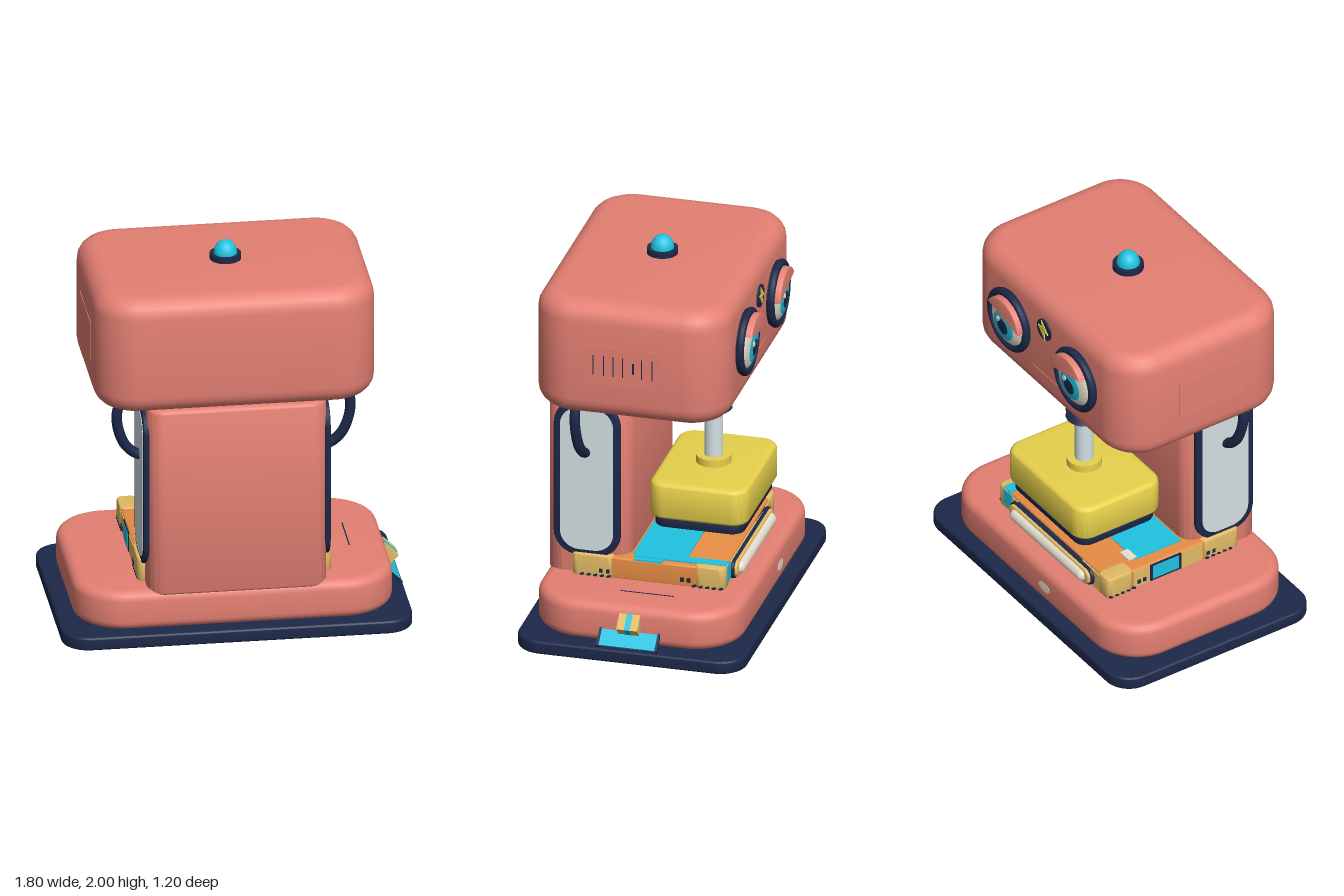
import * as THREE from 'three';
import { toCreasedNormals } from 'three/addons/utils/BufferGeometryUtils.js';

const mat = (name, color) => {
  const m = new THREE.MeshStandardMaterial({ color });
  m.name = name;
  return m;
};

// Rounded-rectangle slab standing on y = 0: width x, depth z, height y
function slab(w, d, h, r, b) {
  const x = w / 2 - b, y = d / 2 - b, c = Math.max(r - b, 0.002);
  const s = new THREE.Shape();
  s.absarc(x - c, y - c, c, 0, Math.PI / 2);
  s.absarc(-x + c, y - c, c, Math.PI / 2, Math.PI);
  s.absarc(-x + c, -y + c, c, Math.PI, Math.PI * 1.5);
  s.absarc(x - c, -y + c, c, Math.PI * 1.5, Math.PI * 2);
  const g = new THREE.ExtrudeGeometry(s, {
    depth: h - 2 * b, bevelEnabled: b > 0, bevelThickness: b, bevelSize: b, bevelSegments: 5, curveSegments: 8,
  });
  g.rotateX(-Math.PI / 2).translate(0, b, 0);
  return toCreasedNormals(g, 0.6);
}

// Flat plate cut from a list of points
function plate(points, depth) {
  const s = new THREE.Shape(points.map(([x, y]) => new THREE.Vector2(x, y)));
  return new THREE.ExtrudeGeometry(s, { depth, bevelEnabled: false });
}

export function createModel() {
  const coral = mat('coral', 0xe58073), navy = mat('navy', 0x1d2849), yellow = mat('yellow', 0xe8d24c);
  const cyan = mat('cyan', 0x1fc3e0), grey = mat('light grey', 0xd4e1e4), sand = mat('sand', 0xe3bb65);
  const orange = mat('orange', 0xe68c45), cream = mat('cream', 0xefe8d6);
  const teal = mat('teal', 0x2a8a84), magenta = mat('magenta', 0xb03a86);

  const model = new THREE.Group();
  model.name = 'pressMachine';
  const add = (name, geo, material, x = 0, y = 0, z = 0, parent = model) => {
    const m = new THREE.Mesh(geo, material);
    m.name = name;
    m.position.set(x, y, z);
    parent.add(m);
    return m;
  };
  const box = (w, h, d) => new THREE.BoxGeometry(w, h, d);
  const cyl = (r, h) => new THREE.CylinderGeometry(r, r, h, 32);

  // Base, column and head
  add('basePlate', slab(1.8, 1.2, 0.07, 0.14, 0.012), navy);
  add('baseBody', slab(1.64, 1.08, 0.21, 0.26, 0.05), coral, 0, 0.07, 0);
  add('column', slab(0.92, 0.44, 1.03, 0.09, 0.03), coral, 0, 0.25, 0.32);
  add('head', slab(1.44, 1.02, 0.63, 0.22, 0.1), coral, 0, 1.27, 0.05);

  // Beacon on the head
  add('beaconBase', cyl(0.08, 0.04), navy, 0, 1.91, 0.05);
  add('beaconDome', new THREE.SphereGeometry(0.06, 24, 10, 0, Math.PI * 2, 0, Math.PI / 2).scale(1, 1.17, 1), cyan, 0, 1.93, 0.05);

  // Column windows and cables, mirrored
  for (const s of [1, -1]) {
    const turn = (g) => g.rotateZ(-s * Math.PI / 2);
    add('windowFrame', turn(slab(0.86, 0.35, 0.03, 0.13, 0.008)), navy, s * 0.45, 0.81, 0.32);
    add('windowPane', turn(slab(0.79, 0.28, 0.03, 0.1, 0)), grey, s * 0.453, 0.81, 0.32);
    const path = new THREE.CatmullRomCurve3([
      [0.575, 1.3, 0.35], [0.6, 1.18, 0.35], [0.565, 1.04, 0.34], [0.51, 0.975, 0.33], [0.45, 0.95, 0.325],
    ].map(([x, y, z]) => new THREE.Vector3(s * x, y, z)));
    add('cable', new THREE.TubeGeometry(path, 32, 0.027, 12), navy);
    // Side hatch on the head
    add('sideHatch', box(0.006, 0.21, 0.39), coral, s * 0.72, 1.575, 0.07);
  }
  for (const z of [0.22, 0.165, 0.115, 0.065, -0.035, -0.09]) {
    add('ventRib', box(0.0066, 0.11, 0.005), navy, 0.72, 1.575, z);
  }
  add('ventSlit', box(0.008, 0.06, 0.01), navy, 0.721, 1.575, 0.01);

  // Face: eyes with rings, irises and heavy lids
  const cap = (r, angle, tilt) => new THREE.SphereGeometry(r, 32, 12, 0, Math.PI * 2, 0, angle)
    .rotateX(-Math.PI / 2 + tilt).scale(1, 1, 0.3);
  for (const s of [1, -1]) {
    const eye = new THREE.Group();
    eye.name = 'eye';
    eye.position.set(s * 0.3, 1.6, -0.46);
    model.add(eye);
    add('eyeSocket', cyl(0.17, 0.03).rotateX(Math.PI / 2), navy, 0, 0, -0.005, eye);
    add('eyeRing', new THREE.TorusGeometry(0.157, 0.021, 12, 40), navy, 0, 0, -0.021, eye);
    add('eyeWhite', cap(0.142, Math.PI / 2, 0), cream, 0, 0, -0.018, eye);
    add('iris', cap(0.145, 0.62, -0.2), cyan, 0, 0, -0.018, eye);
    add('pupil', cap(0.148, 0.31, -0.2), navy, 0, 0, -0.018, eye);
    add('eyeGlint', cyl(0.014, 0.006).rotateX(Math.PI / 2), cream, 0.035, 0.005, -0.063, eye);
    const lid = new THREE.Shape();
    lid.absarc(0, 0, 0.143, 0.36, Math.PI - 0.36);
    lid.closePath();
    const lidGeo = new THREE.ExtrudeGeometry(lid, { depth: 0.06, bevelThickness: 0.006, bevelSize: 0.005, bevelSegments: 3, curveSegments: 24 });
    // Lids slope down towards the middle of the face
    add('eyelid', toCreasedNormals(lidGeo, 0.6), coral, -s * 0.012, 0, -0.067, eye).rotation.z = s * 0.22;
  }
  add('browBadge', cyl(0.06, 0.02).rotateX(Math.PI / 2), navy, 0, 1.72, -0.46);
  const bolt = plate([[0.016, 0.055], [-0.045, -0.008], [-0.008, -0.008], [-0.018, -0.055], [0.045, 0.014], [0.01, 0.014]], 0.006);
  add('badgeMark', bolt, yellow, 0, 1.72, -0.475);
  add('mouth', box(0.22, 0.005, 0.006), coral, 0, 1.43, -0.46);

  // Press: collar, bellows, rod and pressing block
  const bellows = [];
  for (let i = 0; i <= 10; i++) bellows.push(new THREE.Vector2(i % 2 ? 0.095 : 0.066, 1.045 + i * 0.0205));
  add('pressCollar', cyl(0.1, 0.03), cyan, 0, 1.262, -0.22);
  add('bellows', toCreasedNormals(new THREE.LatheGeometry([new THREE.Vector2(0, 1.045), ...bellows], 32), 0.5), navy, 0, 0, -0.22);
  add('rod', cyl(0.048, 0.27), grey, 0, 0.925, -0.22);
  add('blockCollar', cyl(0.09, 0.05), yellow, 0, 0.78, -0.22);
  add('pressBlock', slab(0.7, 0.52, 0.2, 0.09, 0.03), yellow, 0, 0.565, -0.22);
  add('pressPad', slab(0.65, 0.47, 0.06, 0.07, 0.008), navy, 0, 0.515, -0.22);

  // Work bed with corner blocks, cloth and markings
  add('bed', slab(0.98, 0.78, 0.118, 0.03, 0.01), orange, 0, 0.275, -0.01);
  for (const sx of [1, -1]) {
    add('rearCorner', slab(0.1, 0.22, 0.123, 0.03, 0.01), sand, sx * 0.447, 0.275, 0.285);
    add('frontCorner', slab(0.1, 0.16, 0.123, 0.03, 0.01), sand, sx * 0.447, 0.275, -0.33);
    for (const z of [0.24, 0.205, -0.185, -0.22]) add('rivet', box(0.016, 0.022, 0.018), navy, sx * 0.491, 0.315, z);
    for (const start of [0.2, -0.39]) {
      for (let i = 0; i < 5; i++) {
        const dash = add('hazardDash', box(0.008, 0.012, 0.022), navy, sx * 0.495, 0.287, start + i * 0.035);
        dash.rotation.x = 0.4;
      }
    }
  }
  add('bedCloth', box(0.84, 0.008, 0.28), cyan, 0, 0.393, -0.05);
  add('bedClothEdge', box(0.14, 0.008, 0.15), cyan, 0.42, 0.393, -0.005);
  add('leftSidePanel', box(0.008, 0.1, 0.425), sand, -0.49, 0.335, -0.04);
  add('leftSideBadgeFrame', box(0.008, 0.1, 0.19), navy, -0.492, 0.336, -0.055);
  add('leftSideBadge', box(0.008, 0.08, 0.16), cyan, -0.494, 0.337, -0.055);
  add('clothLabel', box(0.08, 0.008, 0.05), cream, -0.37, 0.396, -0.2);
  add('bedFrontRail', box(0.94, 0.1, 0.02), sand, 0, 0.33, -0.398);
  add('frontTab', box(0.07, 0.09, 0.008), cyan, 0.41, 0.345, -0.408);
  add('sideRibbon', box(0.06, 0.008, 0.48), cyan, 0.425, 0.396, -0.165);
  add('handleBack', slab(0.74, 0.1, 0.03, 0.045, 0.005).rotateX(-Math.PI / 2), navy, 0, 0.33, -0.395);
  add('handleTrim', slab(0.72, 0.088, 0.03, 0.043, 0.008).rotateX(-Math.PI / 2), sand, 0, 0.33, -0.41);
  add('handle', new THREE.CapsuleGeometry(0.035, 0.59, 8, 20).rotateZ(Math.PI / 2), cream, 0, 0.328, -0.433);

  // Side latch on the base
  const latch = new THREE.Group();
  latch.name = 'sideLatch';
  model.add(latch);
  add('latchPlate', box(0.012, 0.09, 0.3), cyan, 0.853, 0.115, 0, latch).rotation.z = 0.8;
  for (const z of [0.153, -0.153]) add('latchCap', box(0.02, 0.1, 0.012), navy, 0.853, 0.115, z, latch).rotation.z = 0.8;
  add('latchTongue', box(0.06, 0.09, 0.11), sand, 0.835, 0.195, 0, latch).rotation.z = 0.8;
  add('latchStripe', box(0.062, 0.092, 0.03), cyan, 0.835, 0.195, 0, latch).rotation.z = 0.8;

  // Small base details
  add('baseLamp', cyl(0.05, 0.006).rotateX(Math.PI / 2).scale(1, 0.5, 1), cream, -0.11, 0.17, -0.539);
  add('baseSlot', box(0.006, 0.006, 0.28), navy, 0.63, 0.279, -0.04);

  // Underside panels
  add('undersideCentre', box(0.84, 0.004, 0.66), orange, 0, 0.001, 0.05);
  const wedges = [
    [[0.36, 0.32], [0.3, -0.08], [0.06, 0.05], [0.02, 0.3]],
    [[-0.08, 0.28], [-0.14, 0.02], [-0.4, -0.02], [-0.38, 0.22]],
  ];
  for (const w of wedges) add('undersideWedge', plate(w, 0.004).rotateX(Math.PI / 2), magenta, 0, 0.002, 0);
  for (const z of [-0.43, 0.49]) add('undersideStrip', box(1.2, 0.004, 0.12), teal, 0, 0.001, z);

  return model;
}
